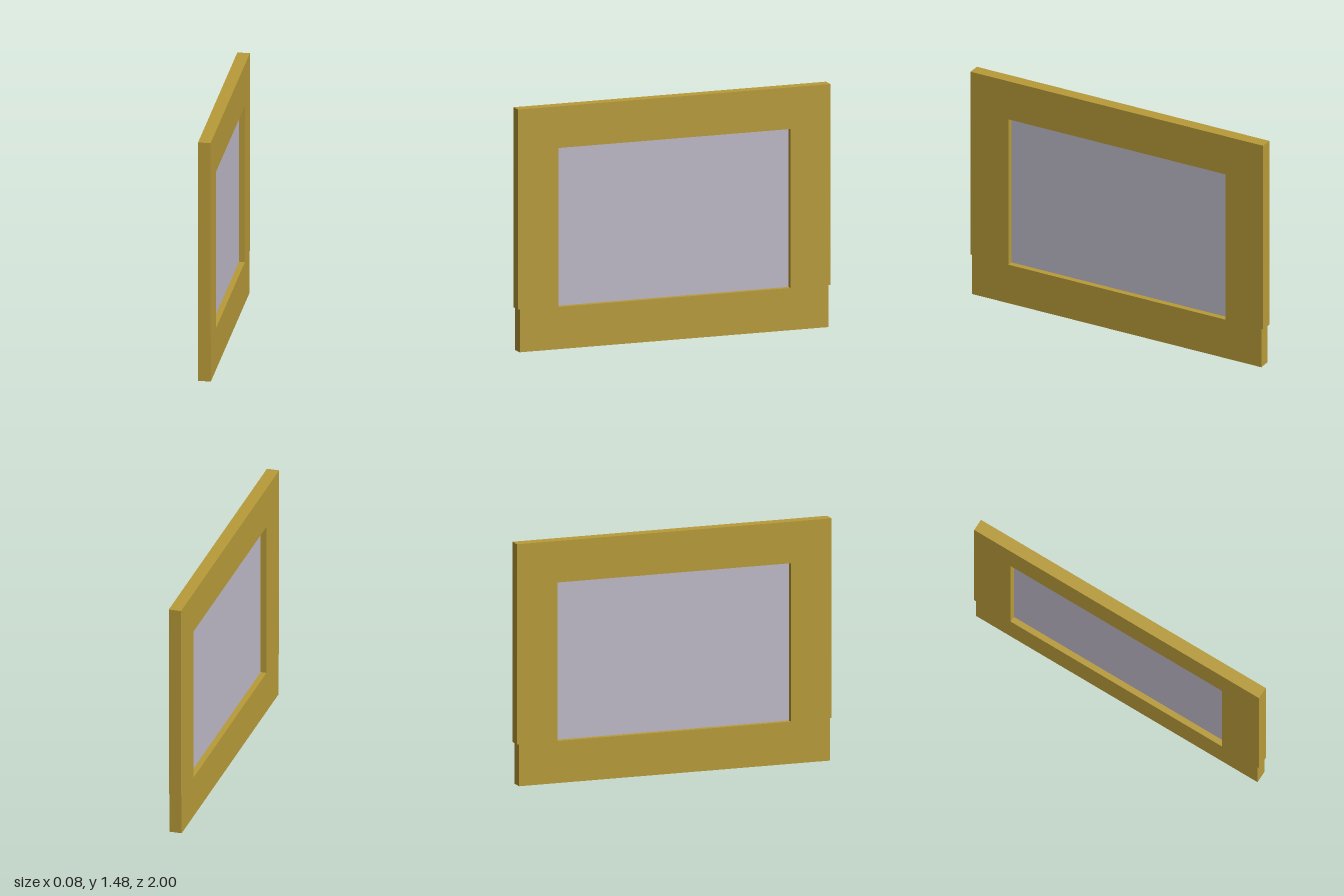
import * as THREE from 'three';

const DEPTH = 0.076;

export function createModel() {
  const group = new THREE.Group();
  group.name = 'framedPanel';

  const wood = new THREE.MeshStandardMaterial({ color: 0xb89b39 });
  wood.name = 'golden wood';
  const glass = new THREE.MeshStandardMaterial({ color: 0xbebac8 });
  glass.name = 'pale grey pane';

  // Frame outline in (z, y): the bottom rail is slightly narrower than the rest
  const outline = new THREE.Shape([
    [-0.987, 0], [0.99, 0], [0.99, 0.26], [1, 0.26],
    [1, 1.475], [-1, 1.475], [-1, 0.255], [-0.987, 0.255],
  ].map(([z, y]) => new THREE.Vector2(z, y)));

  // Window opening
  const opening = { z0: -0.744, z1: 0.742, y0: 0.256, y1: 1.222 };
  outline.holes.push(new THREE.Path([
    new THREE.Vector2(opening.z0, opening.y0),
    new THREE.Vector2(opening.z0, opening.y1),
    new THREE.Vector2(opening.z1, opening.y1),
    new THREE.Vector2(opening.z1, opening.y0),
  ]));

  // Extrude, then turn so the thickness runs along x
  const frameGeometry = new THREE.ExtrudeGeometry(outline, { depth: DEPTH, bevelEnabled: false });
  frameGeometry.translate(0, 0, -DEPTH / 2);
  frameGeometry.rotateY(-Math.PI / 2);
  const frame = new THREE.Mesh(frameGeometry, wood);
  frame.name = 'frame';
  group.add(frame);

  // Thin pane, recessed equally on both sides
  const pane = new THREE.Mesh(
    new THREE.BoxGeometry(0.004, opening.y1 - opening.y0, opening.z1 - opening.z0),
    glass,
  );
  pane.name = 'pane';
  pane.position.set(0, (opening.y0 + opening.y1) / 2, (opening.z0 + opening.z1) / 2);
  group.add(pane);

  return group;
}
